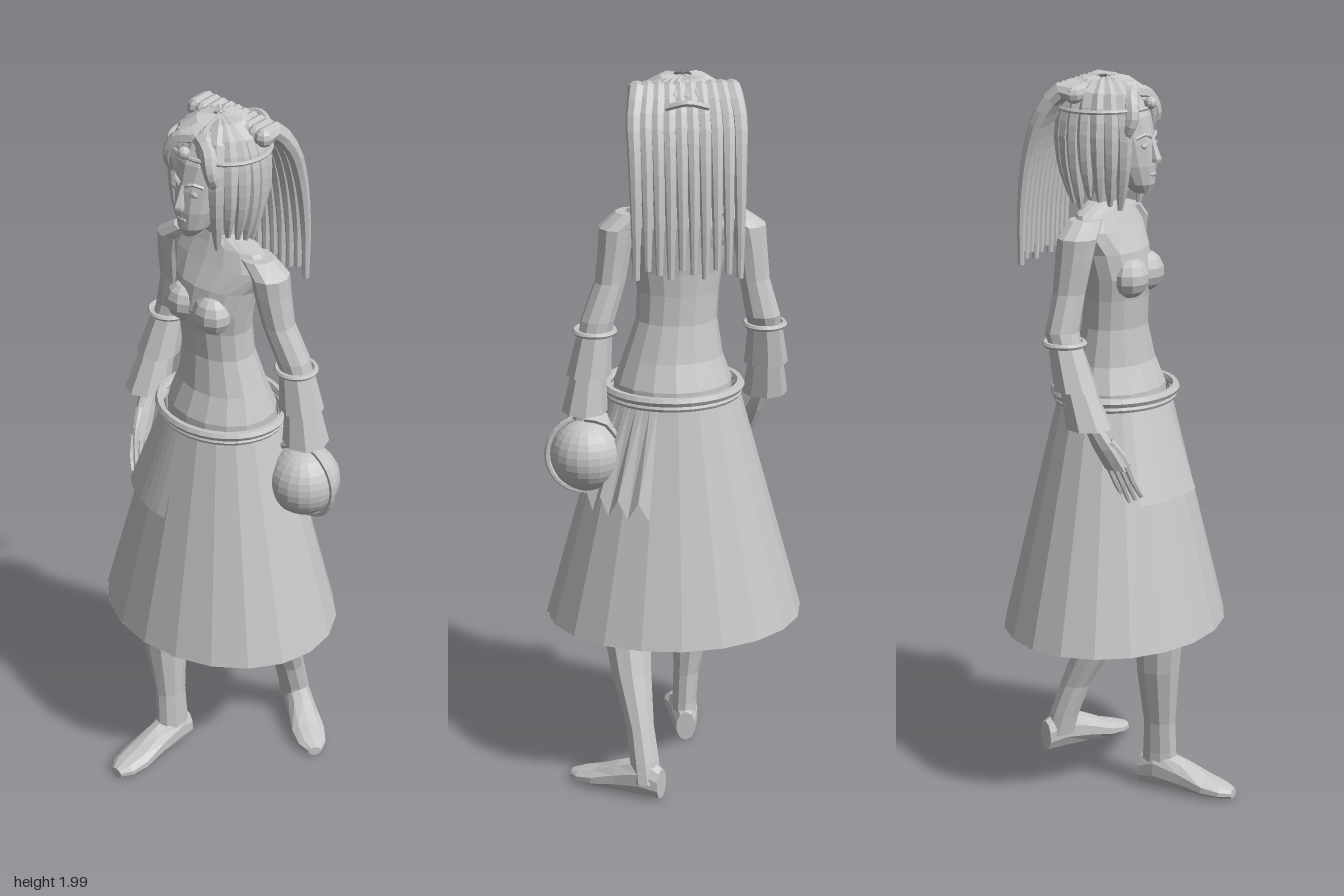
import * as THREE from 'three';

const grey = new THREE.MeshStandardMaterial({ color: 0xc6c6c6, flatShading: true, side: THREE.DoubleSide });
grey.name = 'plain grey';

function add(parent, name, geo, x = 0, y = 0, z = 0) {
  const m = new THREE.Mesh(geo, grey);
  m.name = name;
  m.position.set(x, y, z);
  parent.add(m);
  return m;
}

// Closed body through elliptical sections [cx, y, cz, rx, rz]
function loft(sections, n = 12) {
  const s = sections[0][1] > sections[sections.length - 1][1] ? [...sections].reverse() : sections;
  const pos = [], idx = [], last = s.length - 1;
  for (const [cx, y, cz, rx, rz] of s)
    for (let j = 0; j < n; j++) {
      const a = (j / n) * Math.PI * 2;
      pos.push(cx + Math.sin(a) * rx, y, cz + Math.cos(a) * rz);
    }
  for (let i = 0; i < last; i++)
    for (let j = 0; j < n; j++) {
      const a = i * n + j, b = i * n + (j + 1) % n;
      idx.push(a, b, b + n, a, b + n, a + n);
    }
  pos.push(s[0][0], s[0][1], s[0][2], s[last][0], s[last][1], s[last][2]);
  for (let j = 0; j < n; j++) {
    const k = (j + 1) % n;
    idx.push(s.length * n, k, j, s.length * n + 1, last * n + j, last * n + k);
  }
  const g = new THREE.BufferGeometry();
  g.setAttribute('position', new THREE.Float32BufferAttribute(pos, 3));
  g.setIndex(idx);
  g.computeVertexNormals();
  return g;
}

// Tube along points whose radius follows a function of t
function strand(points, radius, segs = 10, sides = 7) {
  const curve = new THREE.CatmullRomCurve3(points.map(p => new THREE.Vector3(...p)));
  const g = new THREE.TubeGeometry(curve, segs, 1, sides);
  const p = g.attributes.position, v = new THREE.Vector3();
  for (let i = 0; i < p.count; i++) {
    const t = Math.floor(i / (sides + 1)) / segs, c = curve.getPointAt(t);
    v.fromBufferAttribute(p, i).sub(c).multiplyScalar(radius(t)).add(c);
    p.setXYZ(i, v.x, v.y, v.z);
  }
  g.computeVertexNormals();
  return g;
}

function ring(rx, rz, tube) {
  const g = new THREE.TorusGeometry(1, tube / rx, 6, 32);
  g.rotateX(Math.PI / 2);
  g.scale(rx, rx, rz);
  return g;
}

function foot(parent, name, x, z, turn) {
  const g = loft([[0, 0, -0.045, 0.028, 0.045], [0, 0.05, -0.06, 0.04, 0.06], [0, 0.13, -0.045, 0.043, 0.045],
    [0, 0.2, -0.028, 0.05, 0.028], [0, 0.25, -0.02, 0.042, 0.02], [0, 0.28, -0.015, 0.02, 0.014]], 10);
  g.rotateX(Math.PI / 2);
  add(parent, name, g, x, 0, z).rotation.y = turn;
}

export function createModel() {
  const model = new THREE.Group();
  model.name = 'woman in long skirt';

  // Torso and neck
  add(model, 'torso', loft([[0, 1.05, -0.04, 0.16, 0.14], [0, 1.15, -0.04, 0.16, 0.135], [0, 1.22, -0.04, 0.135, 0.105],
    [-0.01, 1.32, -0.035, 0.11, 0.085], [-0.015, 1.4, -0.03, 0.11, 0.085], [-0.015, 1.46, -0.025, 0.12, 0.09],
    [-0.015, 1.53, -0.035, 0.135, 0.085], [-0.015, 1.59, -0.055, 0.17, 0.07], [-0.02, 1.635, -0.06, 0.14, 0.052],
    [-0.025, 1.66, -0.06, 0.05, 0.042], [-0.025, 1.75, -0.035, 0.036, 0.04]], 16));
  for (const s of [-1, 1]) {
    const g = new THREE.SphereGeometry(0.058, 10, 7);
    g.scale(1, 0.95, 0.85);
    add(model, 'bust', g, -0.015 + s * 0.052, 1.46, 0.035);
  }

  // Skirt, belt and hanging sashes
  const skirt = new THREE.CylinderGeometry(0.175, 0.355, 0.66, 20, 1, true);
  skirt.scale(1, 1, 0.845);
  add(model, 'skirt', skirt, -0.003, 0.8, -0.04);
  const lining = new THREE.CylinderGeometry(0.168, 0.344, 0.655, 20, 1, true);
  lining.scale(1, 1, 0.845);
  add(model, 'skirtLining', lining, -0.003, 0.8, -0.04);
  const hem = new THREE.RingGeometry(0.343, 0.355, 20);
  hem.rotateX(Math.PI / 2);
  hem.scale(1, 1, 0.845);
  add(model, 'hem', hem, -0.003, 0.471, -0.04);
  add(model, 'belt', ring(0.182, 0.162, 0.013), 0, 1.135, -0.04);
  add(model, 'lowerBelt', ring(0.178, 0.158, 0.009), 0, 1.115, -0.04);
  for (const [name, start, sweep, jag] of [['frontSash', -0.8, 0.85, 0], ['backSash', 1.95, 0.9, 0.05]]) {
    const g = new THREE.CylinderGeometry(0.178, 0.276, 0.25, 8, 1, true, start, sweep);
    const p = g.attributes.position;
    for (let i = 0; i < p.count; i++) if (p.getY(i) < 0 && i % 2) p.setY(i, p.getY(i) - jag);
    g.scale(1, 1, 0.85);
    add(model, name, g, 0, 0.995, -0.04);
  }

  // Legs and feet
  add(model, 'rightLeg', loft([[-0.08, 1.0, -0.03, 0.08, 0.09], [-0.08, 0.75, 0.03, 0.075, 0.085],
    [-0.075, 0.54, 0.12, 0.058, 0.065], [-0.07, 0.46, 0.125, 0.062, 0.068], [-0.065, 0.36, 0.12, 0.056, 0.062],
    [-0.05, 0.2, 0.118, 0.037, 0.047], [-0.045, 0.11, 0.117, 0.035, 0.05], [-0.045, 0.05, 0.115, 0.036, 0.055]], 10));
  foot(model, 'rightFoot', -0.045, 0.06, 0);
  add(model, 'leftLeg', loft([[0.08, 1.0, -0.04, 0.08, 0.09], [0.11, 0.75, -0.06, 0.075, 0.085],
    [0.135, 0.54, -0.09, 0.06, 0.065], [0.135, 0.46, -0.105, 0.07, 0.068], [0.125, 0.34, -0.15, 0.058, 0.062],
    [0.105, 0.2, -0.215, 0.04, 0.045], [0.095, 0.11, -0.245, 0.042, 0.044], [0.09, 0.05, -0.26, 0.042, 0.045]], 10));
  foot(model, 'leftFoot', 0.05, -0.285, 1.02);

  // Arms with tiered flared cuffs
  const arms = [
    ['right', [[-0.14, 1.625, -0.06, 0.05, 0.045], [-0.195, 1.585, -0.06, 0.052, 0.055], [-0.205, 1.53, -0.065, 0.045, 0.052],
      [-0.215, 1.44, -0.075, 0.042, 0.045], [-0.238, 1.34, -0.085, 0.048, 0.046], [-0.25, 1.26, -0.06, 0.04, 0.04],
      [-0.24, 1.08, 0, 0.026, 0.028]], [-0.245, -0.075, -0.253, -0.04, -0.255, 0]],
    ['left', [[0.105, 1.625, -0.06, 0.05, 0.045], [0.15, 1.585, -0.065, 0.05, 0.055], [0.157, 1.53, -0.07, 0.045, 0.052],
      [0.17, 1.44, -0.08, 0.042, 0.045], [0.205, 1.34, -0.1, 0.046, 0.046], [0.225, 1.26, -0.11, 0.04, 0.04],
      [0.25, 1.07, -0.118, 0.028, 0.03]], [0.213, -0.105, 0.23, -0.112, 0.243, -0.117]],
  ];
  for (const [side, path, [x0, z0, x1, z1, x2, z2]] of arms) {
    add(model, side + 'Arm', loft(path, 10));
    add(model, side + 'CuffBand', ring(0.052, 0.052, 0.008), x0, 1.31, z0);
    add(model, side + 'UpperCuff', loft([[x0, 1.31, z0, 0.046, 0.046], [x1, 1.19, z1, 0.06, 0.06]], 8));
    add(model, side + 'LowerCuff', loft([[x1, 1.21, z1, 0.045, 0.046], [x2, 1.09, z2, 0.062, 0.064]], 8));
  }

  // Open right hand hanging down
  add(model, 'rightPalm', loft([[-0.245, 1.09, 0.005, 0.02, 0.026], [-0.232, 1.03, 0.035, 0.02, 0.036],
    [-0.218, 0.97, 0.065, 0.016, 0.036]], 8));
  for (let i = 0; i < 4; i++) {
    const z = 0.04 + i * 0.018;
    add(model, 'rightFinger', strand([[-0.22, 0.985, z], [-0.208, 0.93, z + 0.018], [-0.19, 0.875 + 0.01 * Math.abs(i - 1), z + 0.03]],
      t => 0.0105 - 0.004 * t, 4, 6));
  }
  add(model, 'rightThumb', strand([[-0.235, 1.05, 0.05], [-0.215, 1.0, 0.085], [-0.205, 0.95, 0.1]], t => 0.012 - 0.005 * t, 4, 6));

  // Ball with a hoop, held in the left hand
  add(model, 'ball', new THREE.SphereGeometry(0.1, 20, 16), 0.238, 0.965, -0.117);
  add(model, 'ballHoop', new THREE.TorusGeometry(0.108, 0.008, 6, 28), 0.238, 0.965, -0.117);
  for (let i = 0; i < 4; i++) {
    const z = -0.15 + i * 0.02;
    add(model, 'leftFinger', strand([[0.245, 1.08, z], [0.19, 1.065, z], [0.15, 1.01, z]], t => 0.011 - 0.003 * t, 4, 6));
  }

  // Head and face
  const head = new THREE.Group();
  head.name = 'head';
  model.add(head);
  add(head, 'face', loft([[0, 1.685, 0.052, 0.018, 0.022], [0, 1.71, 0.04, 0.042, 0.045], [0, 1.76, 0.022, 0.06, 0.066],
    [0, 1.82, 0.005, 0.068, 0.08], [0, 1.89, -0.025, 0.085, 0.095], [0, 1.95, -0.04, 0.07, 0.08], [0, 1.98, -0.045, 0.025, 0.03]], 14));
  add(head, 'nose', loft([[0, 1.768, 0.088, 0.012, 0.016], [0, 1.778, 0.088, 0.013, 0.02], [0, 1.835, 0.076, 0.006, 0.008]], 6));
  add(head, 'lips', new THREE.SphereGeometry(0.014, 8, 5), 0, 1.737, 0.082).scale.set(1.3, 0.55, 0.5);
  for (const s of [-1, 1]) {
    add(head, 'eye', new THREE.SphereGeometry(0.014, 8, 6), s * 0.03, 1.815, 0.072).scale.set(1.2, 0.6, 0.5);
    add(head, 'brow', strand([[s * 0.01, 1.835, 0.081], [s * 0.03, 1.845, 0.076], [s * 0.052, 1.835, 0.056]], () => 0.005, 4, 5));
  }

  // Side and back locks falling from the crown
  for (let i = 0; i < 17; i++) {
    const a = 0.75 + (i / 16) * (Math.PI * 2 - 1.5);
    const sx = Math.sin(a), sz = Math.cos(a), y = 1.645 + 0.035 * ((i * 7) % 4) / 3;
    const at = (r, h) => [sx * r, h, -0.055 + sz * r * 1.08];
    add(head, 'hairLock', strand([at(0.02, 1.965), at(0.075, 1.955), at(0.104, 1.88), at(0.108, 1.78), at(0.088, y)],
      t => 0.026 * Math.sqrt(1 - t * t * 0.93)));
  }
  // Fringe swept to both sides
  for (const s of [-1, 1])
    for (let i = 0; i < 4; i++) {
      const d = i * 0.019;
      add(head, 'fringe', strand([[s * 0.01, 1.972 - i * 0.008, -0.05 + i * 0.025], [s * (0.02 + d * 0.6), 1.945 - i * 0.003, 0.025 + i * 0.006],
        [s * (0.055 + d * 0.4), 1.885, 0.04 + i * 0.005], [s * (0.082 - d * 0.1), 1.79 + i * 0.012, 0.03]],
      t => 0.022 * Math.sqrt(1 - t * t * 0.93)));
    }
  // Headband with a jewel
  add(head, 'headband', ring(0.14, 0.125, 0.006), 0, 1.912, -0.055);
  add(head, 'jewel', new THREE.SphereGeometry(0.017, 10, 8), 0, 1.925, 0.075);

  // Broad ponytail of parallel strands
  for (let i = 0; i < 10; i++) {
    const u = i / 9 - 0.5, x = u * 0.245, w = u * 0.27, drop = 0.012 * (i % 3);
    add(head, 'ponytailStrand', strand([[x, 1.955, -0.09], [x, 1.962, -0.125], [w, 1.9, -0.178], [w, 1.8, -0.215],
      [w, 1.65, -0.238], [w, 1.49 + drop, -0.243]], t => 0.026 - 0.017 * t, 14, 8));
    add(head, 'ponytailEnd', new THREE.SphereGeometry(0.026, 8, 6), x, 1.955, -0.09);
  }
  add(head, 'hairClip', strand([[-0.055, 1.93, -0.185], [0, 1.945, -0.2], [0.055, 1.93, -0.185]], () => 0.009, 8, 6));
  head.position.x = -0.025;

  return model;
}
